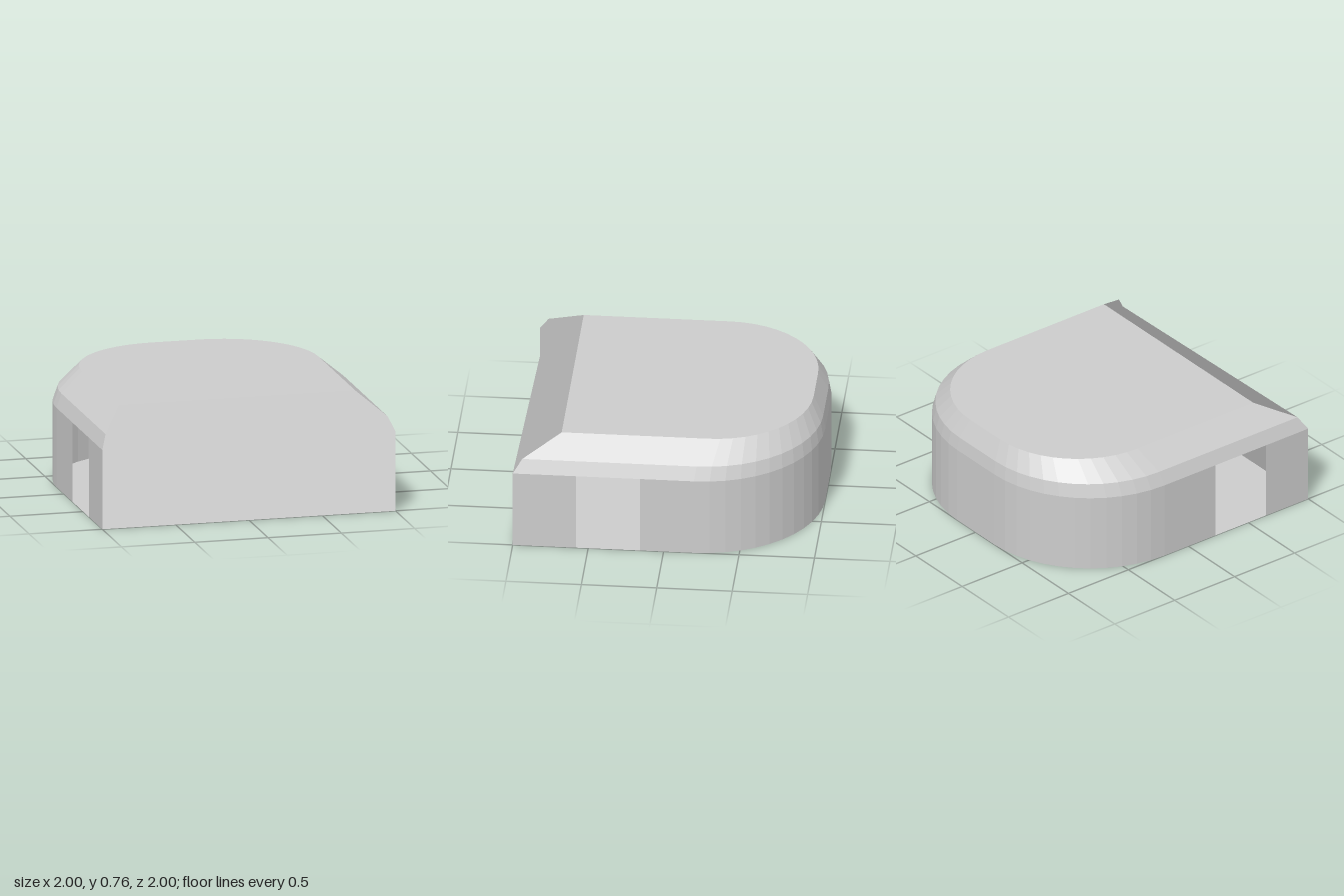
import * as THREE from 'three';

const grey = new THREE.MeshStandardMaterial({ color: 0xcccccc, side: THREE.DoubleSide });
grey.name = 'plain grey';

// Plan outline [x, z], running from the front left corner round the back.
function planOutline() {
  const pts = [[1, 1], [1, 0.58], [1, 0.155]];
  const steps = 12, r = 0.8;
  for (const side of [1, -1]) {
    for (let i = 0; i <= steps; i++) {
      const t = (side > 0 ? i : steps - i) / steps * Math.PI / 2;
      pts.push([side * (0.2 + r * Math.cos(t)), -0.2 - r * Math.sin(t)]);
    }
  }
  pts.push([-1, 0.225], [-1, 0.65], [-1, 1]);
  return pts;
}

// Horizontal section: outline scaled and shifted along z at height y.
const ring = (outline, y, scale, dz) =>
  outline.map(([x, z]) => new THREE.Vector3(x * scale, y, z * scale + dz));

function flatMesh(name, points, normal) {
  const g = new THREE.BufferGeometry().setFromPoints(points);
  g.computeVertexNormals();
  if (normal) {
    const n = g.attributes.normal;
    for (let i = 0; i < n.count; i++) n.setXYZ(i, ...normal);
  }
  const mesh = new THREE.Mesh(g, grey);
  mesh.name = name;
  return mesh;
}

// Band of quads between two rings, leaving out the skipped segments.
function band(lower, upper, skip = []) {
  const out = [];
  for (let i = 0; i < lower.length - 1; i++) {
    if (skip.includes(i)) continue;
    out.push(lower[i], lower[i + 1], upper[i + 1], lower[i], upper[i + 1], upper[i]);
  }
  return out;
}

function fan(points) {
  const out = [];
  for (let i = 1; i < points.length - 1; i++) out.push(points[0], points[i], points[i + 1]);
  return out;
}

export function createModel() {
  const group = new THREE.Group();
  group.name = 'hollowShell';
  const outline = planOutline();
  const last = outline.length - 1;
  const rings = [
    ring(outline, 0, 1, 0),
    ring(outline, 0.538, 1, 0),
    ring(outline, 0.63, 0.9625, -0.0225),
    ring(outline, 0.757, 0.806, -0.113),
  ];

  // Thin walls with an opening on each side, then two bevels
  const openings = [1, last - 2];
  group.add(flatMesh('wall', band(rings[0], rings[1], openings)));
  group.add(flatMesh('lowerBevel', band(rings[1], rings[2])));
  group.add(flatMesh('upperBevel', band(rings[2], rings[3])));
  group.add(flatMesh('roof', fan(rings[3])));
  group.add(flatMesh('floor', fan([...rings[0]].reverse())));

  // Front: a slightly folded eight-sided panel shaded as one face
  const [l0, l1, l2, l3] = rings.map((r) => r[0]);
  const [r0, r1, r2, r3] = rings.map((r) => r[last]);
  const front = [
    r0, l0, l1,
    r0, l1, r2,
    r0, r2, r1,
    l1, l2, l3,
    l1, l3, r2,
    l3, r3, r2,
  ];
  group.add(flatMesh('front', front, [0, 0.35, 0.937]));
  return group;
}
